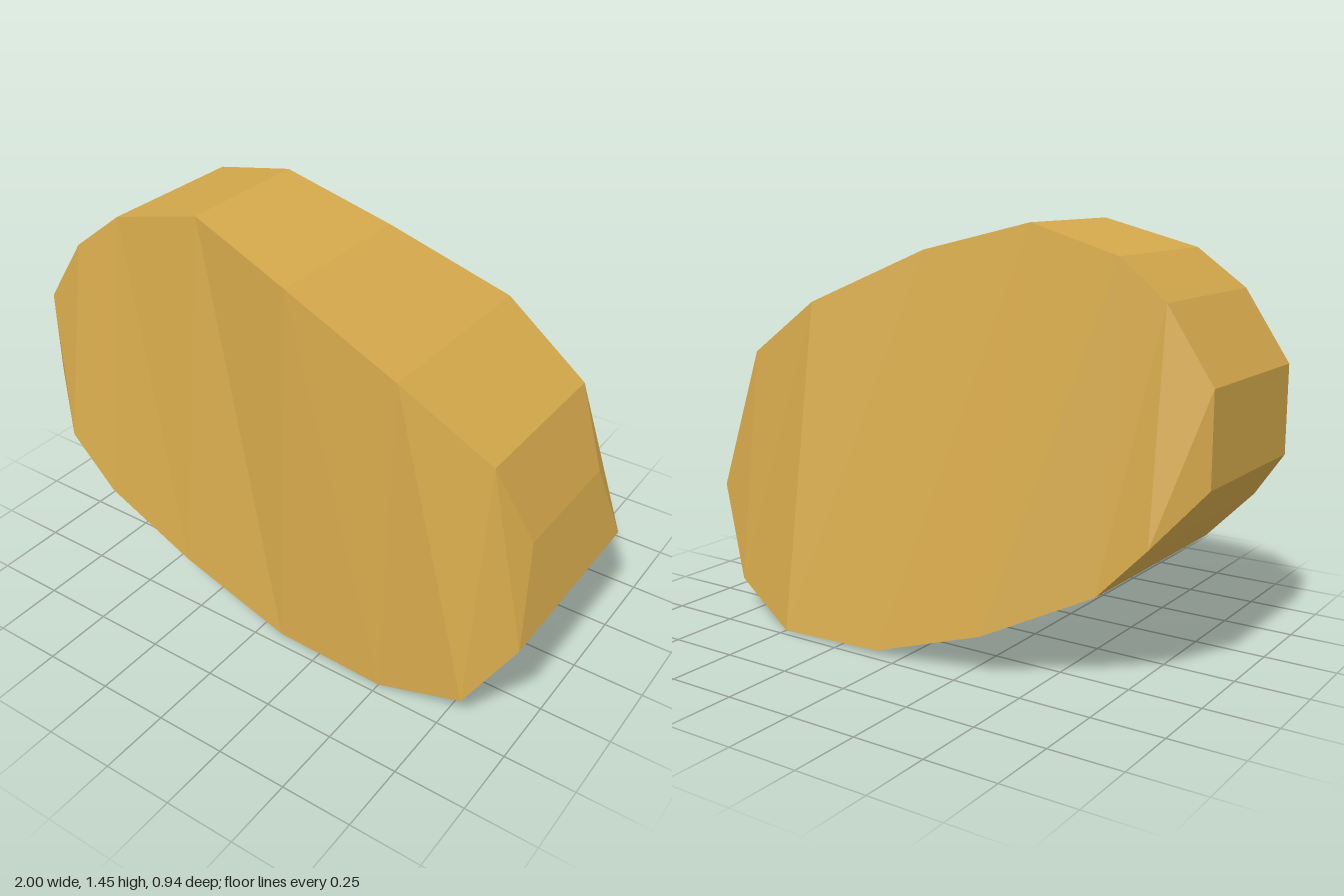
import * as THREE from 'three';

// Outline corners, counter-clockwise from the tip: [x, y, front z, back z]
const outline = [
  [1, 0.42, 0.465, -0.245],
  [0.93, 0.685, 0.285, -0.18],
  [0.815, 0.95, 0.35, -0.245],
  [0.5, 1.155, 0.4, -0.29],
  [0.09, 1.345, 0.4, -0.185],
  [-0.33, 1.445, 0.31, -0.185],
  [-0.68, 1.355, 0.31, -0.245],
  [-0.84, 1.225, 0.35, -0.245],
  [-1, 0.985, 0.35, -0.245],
  [-1, 0.68, 0.35, -0.245],
  [-0.855, 0.5, 0.465, -0.355],
  [-0.68, 0.32, 0.465, -0.355],
  [-0.33, 0.155, 0.465, -0.47],
  [0.09, 0.015, 0.465, -0.47],
  [0.5, 0, 0.465, -0.47],
  [0.815, 0.105, 0.465, -0.355],
];

function facetMesh(name, triangles, material) {
  const geometry = new THREE.BufferGeometry();
  geometry.setAttribute('position', new THREE.Float32BufferAttribute(triangles.flat(2), 3));
  geometry.computeVertexNormals();
  const mesh = new THREE.Mesh(geometry, material);
  mesh.name = name;
  return mesh;
}

export function createModel() {
  const group = new THREE.Group();
  group.name = 'facetedNugget';
  const gold = new THREE.MeshStandardMaterial({ color: 0xd4a84b });
  gold.name = 'gold';
  gold.flatShading = true;

  const n = outline.length;
  const front = outline.map(([x, y, z]) => [x, y, z]);
  const back = outline.map(([x, y, , z]) => [x, y, z]);

  // Rim joining the front and back outlines
  const rim = [];
  for (let i = 0; i < n; i++) {
    const j = (i + 1) % n;
    rim.push([front[i], back[i], back[j]], [front[i], back[j], front[j]]);
  }

  // Cap made of upright strips between matching top and bottom corners
  const strips = [[0, 1, 2], [0, 2, 15]];
  for (let t = 2; t < 8; t++) {
    const b = 17 - t;
    strips.push([b, t, t + 1], [b, t + 1, b - 1]);
  }
  const frontCap = strips.map((tri) => tri.map((i) => front[i]));
  const backCap = strips.map(([a, b, c]) => [back[a], back[c], back[b]]);

  group.add(
    facetMesh('rim', rim, gold),
    facetMesh('frontFace', frontCap, gold),
    facetMesh('backFace', backCap, gold),
  );
  return group;
}
